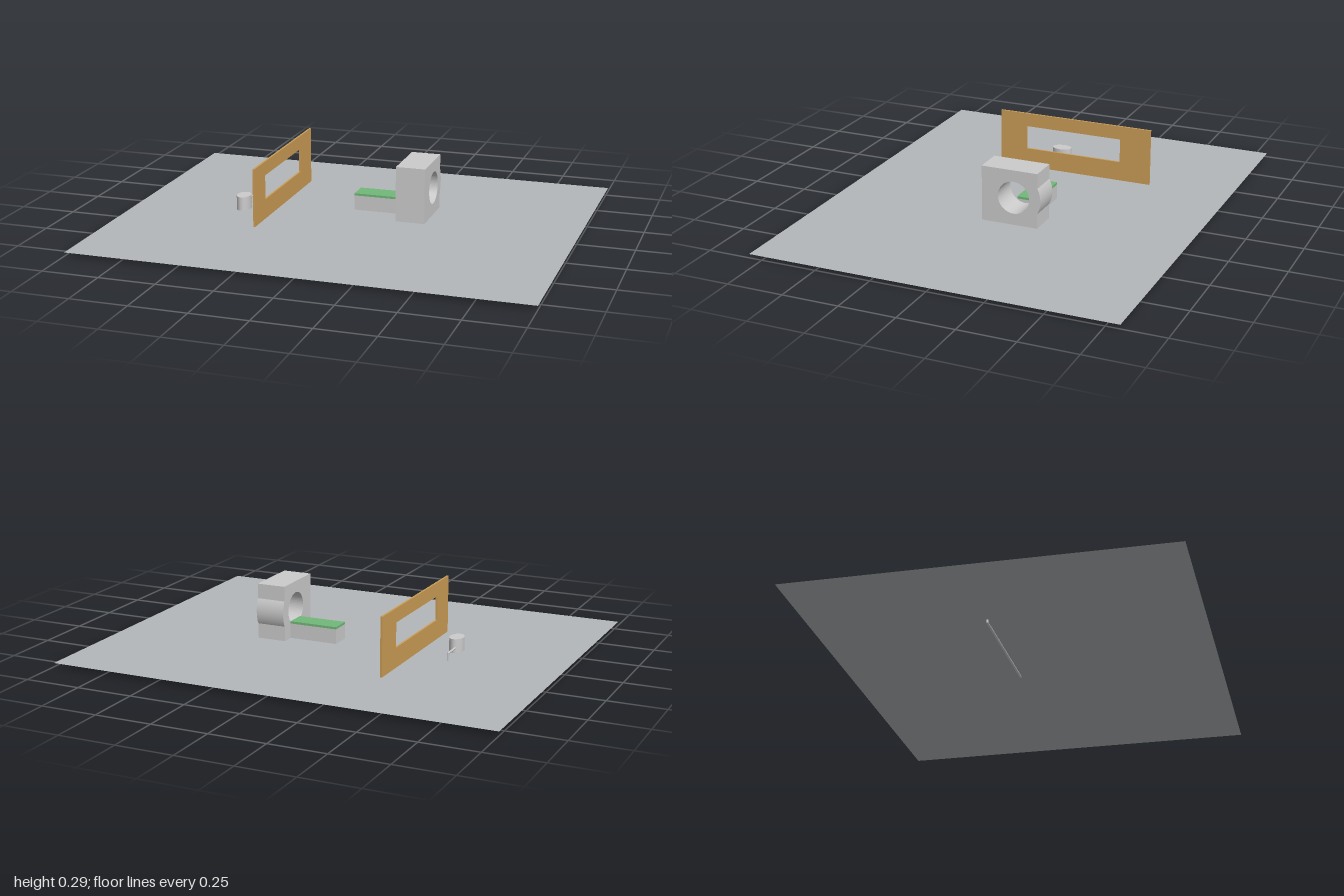
import * as THREE from 'three';

const mat = (color, side = THREE.FrontSide) =>
  new THREE.MeshStandardMaterial({ color, side });
const grey = mat(0xcccccc);

function add(parent, name, geometry, material, x = 0, y = 0, z = 0) {
  const mesh = new THREE.Mesh(geometry, material);
  mesh.name = name;
  mesh.position.set(x, y, z);
  parent.add(mesh);
  return mesh;
}

// Box given by its min and max on each axis
function block(parent, name, [x0, x1], [y0, y1], [z0, z1], material) {
  return add(parent, name, new THREE.BoxGeometry(x1 - x0, y1 - y0, z1 - z0), material,
    (x0 + x1) / 2, (y0 + y1) / 2, (z0 + z1) / 2);
}

// Extrude a profile drawn in (-z, y) along +x, starting at x0
function slab(parent, name, shape, x0, depth, material) {
  const geometry = new THREE.ExtrudeGeometry(shape, { depth, bevelEnabled: false, curveSegments: 32 });
  geometry.rotateY(Math.PI / 2);
  return add(parent, name, geometry, material, x0);
}

function rectangle(path, u0, u1, v0, v1) {
  path.moveTo(u0, v0);
  path.lineTo(u1, v0);
  path.lineTo(u1, v1);
  path.lineTo(u0, v1);
  path.closePath();
  return path;
}

export function createModel() {
  const model = new THREE.Group();
  model.name = 'scannerRoom';

  // Thin floor sheet
  const floor = new THREE.PlaneGeometry(2, 1.62).rotateX(-Math.PI / 2);
  add(model, 'floor', floor, mat(0xb4b7ba, THREE.DoubleSide), 0, 0.017, 0);

  // Scanner body: block with a rounded bulge at the back and a round bore
  const cu = 0.083, cv = 0.167, r = 0.123, back = 0.192;
  const a = Math.acos((back - cu) / r);
  const body = new THREE.Shape();
  body.moveTo(-0.063, 0.044);
  body.lineTo(back, 0.044);
  body.lineTo(back, cv - r * Math.sin(a));
  body.absarc(cu, cv, r, -a, a, false);
  body.lineTo(back, 0.29);
  body.lineTo(-0.063, 0.29);
  body.closePath();
  body.holes.push(new THREE.Path().absarc(cu, cv, 0.072, 0, Math.PI * 2, true));
  slab(model, 'scannerBody', body, 0.215, 0.13, grey);

  // Patient table with a green pad
  const tableX = [-0.006, 0.215], tableZ = [-0.136, -0.043];
  block(model, 'tableBase', tableX, [0.044, 0.11], tableZ, grey);
  block(model, 'tablePad', tableX, [0.11, 0.12], tableZ, mat(0x72b87a));

  // Wall panel with a window opening
  const panel = rectangle(new THREE.Shape(), -0.288, 0.443, 0.031, 0.29);
  panel.holes.push(rectangle(new THREE.Path(), -0.16, 0.299, 0.119, 0.228));
  slab(model, 'windowWall', panel, -0.36, 0.009, mat(0xcc9e56));

  // Oval drum
  const drum = add(model, 'drum', new THREE.CylinderGeometry(1, 1, 0.062, 32), grey, -0.499, 0.061, 0.043);
  drum.scale.set(0.031, 1, 0.045);

  // Pipe from the drum, down through the floor and along beneath it
  const pipe = new THREE.CurvePath();
  const points = [
    [-0.507, 0.052, 0.02], [-0.507, 0.052, -0.074],
    [-0.507, 0.005, -0.074], [0.065, 0.005, -0.066],
  ].map((p) => new THREE.Vector3(...p));
  for (let i = 0; i < points.length - 1; i++) {
    pipe.add(new THREE.LineCurve3(points[i], points[i + 1]));
  }
  const pipeGroup = new THREE.Group();
  pipeGroup.name = 'pipe';
  model.add(pipeGroup);
  pipe.curves.forEach((curve, i) => {
    add(pipeGroup, `pipeSection${i + 1}`, new THREE.TubeGeometry(curve, 1, 0.005, 10), mat(0xcccccc, THREE.DoubleSide));
  });
  // Elbows round the two bends
  for (const p of points.slice(1, 3)) {
    add(pipeGroup, 'pipeElbow', new THREE.SphereGeometry(0.005, 10, 8), grey, p.x, p.y, p.z);
  }
  return model;
}
